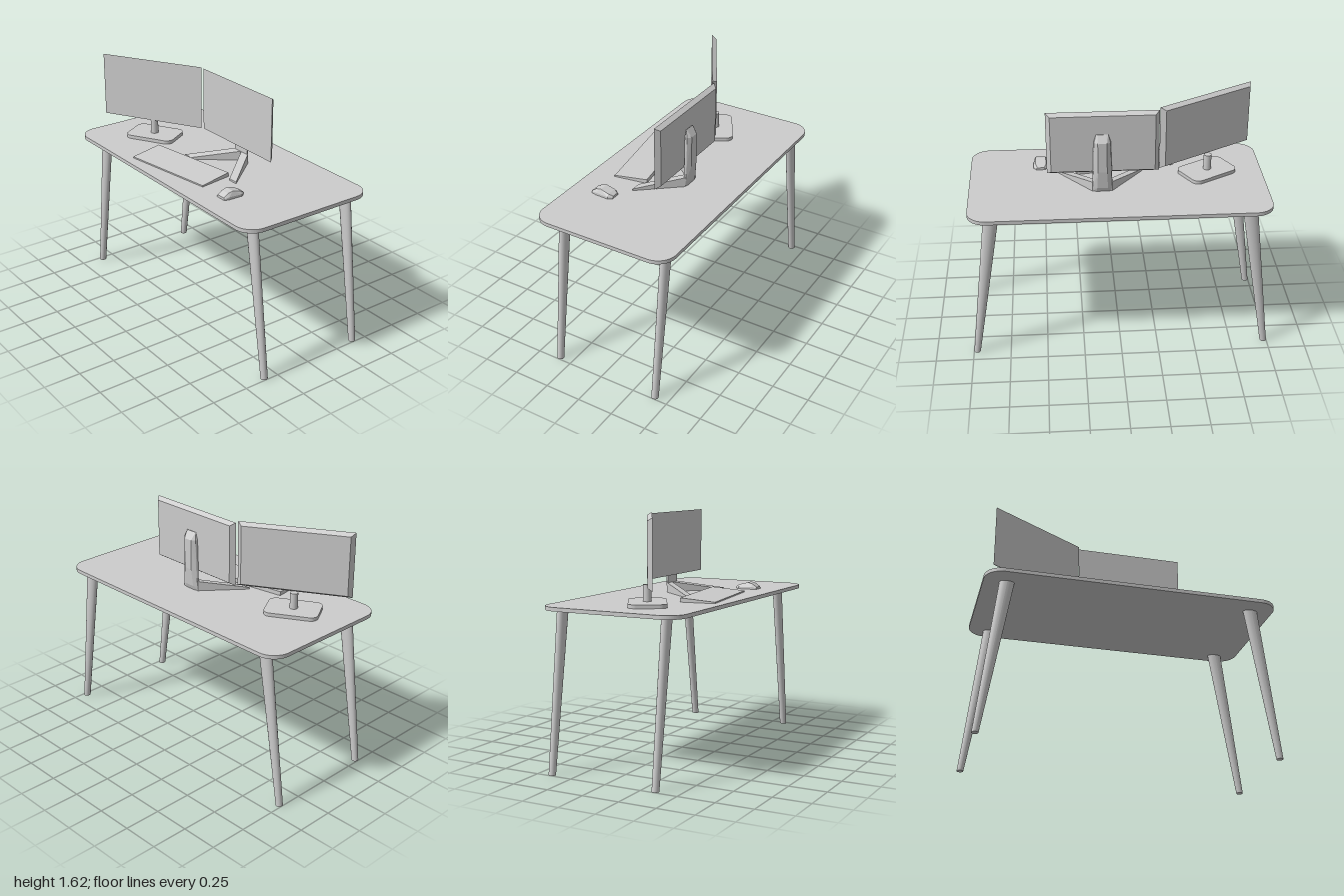
import * as THREE from 'three';
import { ConvexGeometry } from 'three/addons/geometries/ConvexGeometry.js';

export function createModel() {
  const model = new THREE.Group();
  model.name = 'deskWithMonitors';
  const grey = new THREE.MeshStandardMaterial({ color: 0xcccccc });
  grey.name = 'plainGrey';

  const add = (name, geometry, parent = model) => {
    const mesh = new THREE.Mesh(geometry, grey);
    mesh.name = name;
    parent.add(mesh);
    return mesh;
  };
  const hull = (points) => new ConvexGeometry(points.map((p) => new THREE.Vector3(...p)));

  // Rounded slab lying flat, its underside at y = 0
  function slab(w, d, h, r) {
    const x = w / 2, y = d / 2, s = new THREE.Shape();
    s.moveTo(-x + r, -y);
    s.absarc(x - r, -y + r, r, -Math.PI / 2, 0);
    s.absarc(x - r, y - r, r, 0, Math.PI / 2);
    s.absarc(-x + r, y - r, r, Math.PI / 2, Math.PI);
    s.absarc(-x + r, -y + r, r, Math.PI, Math.PI * 1.5);
    return new THREE.ExtrudeGeometry(s, { depth: h, bevelEnabled: false, curveSegments: 10 }).rotateX(-Math.PI / 2);
  }

  // Table top
  const TOP = 1.065;
  add('tableTop', slab(1.965, 0.98, 0.025, 0.125)).position.y = 1.04;

  // Splayed legs, wider along x at the top
  for (const side of [1, -1]) {
    for (const z of [0.342, -0.403]) {
      const g = new THREE.CylinderGeometry(1, 1, 1.04, 28);
      const p = g.attributes.position;
      for (let i = 0; i < p.count; i++) {
        const t = p.getY(i) / 1.04 + 0.5;
        p.setXYZ(i,
          side * (0.978 - 0.148 * t) + p.getX(i) * (0.022 + 0.027 * t),
          t * 1.04,
          z + p.getZ(i) * (0.024 + 0.005 * t));
      }
      g.computeVertexNormals();
      add(`${z > 0 ? 'front' : 'back'}${side > 0 ? 'Left' : 'Right'}Leg`, g);
    }
  }

  // Monitor panel: front face at z = 0, back face inset
  function panel(w, h) {
    const pts = [];
    for (const sx of [1, -1]) for (const sy of [1, -1]) {
      pts.push([sx * w / 2, sy * h / 2, 0], [sx * (w / 2 - 0.027), sy * (h / 2 - 0.02), -0.031]);
    }
    return hull(pts);
  }
  add('leftMonitor', panel(0.732, 0.43)).position.set(0.1, 1.4, -0.094);
  const right = add('rightMonitor', panel(0.745, 0.436));
  right.position.set(-0.593, 1.407, 0.107);
  right.rotation.y = Math.PI / 6;

  // Right monitor's foot plate and pole
  const foot = add('rightStandPlate', slab(0.352, 0.243, 0.024, 0.05));
  foot.position.set(-0.61, TOP, 0.082);
  foot.rotation.y = Math.PI / 6;
  add('rightStandPole', new THREE.CylinderGeometry(0.026, 0.026, 0.11, 24)).position.set(-0.613, 1.14, 0.083);

  // Left monitor's stand: two wedge feet and a chamfered column
  const stand = new THREE.Group();
  stand.name = 'leftStand';
  stand.position.set(0.106, TOP, 0);
  model.add(stand);
  for (const s of [1, -1]) {
    const plan = [[0.283, 0.125, 0.012], [0.213, 0.125, 0.012], [-0.005, -0.14, 0.067], [0.065, -0.14, 0.067]];
    add(s > 0 ? 'leftStandFoot' : 'rightStandFoot',
      hull(plan.flatMap(([x, z, h]) => [[s * x, 0, z], [s * x, h, z]])), stand);
  }
  // Each level: height, front half width, back half width, back z
  const levels = [[0, 0.066, 0.04, -0.145], [0.03, 0.066, 0.035, -0.155],
    [0.15, 0.06, 0.03, -0.166], [0.355, 0.056, 0.03, -0.166], [0.405, 0.04, 0.025, -0.133]];
  const column = [];
  for (const [y, f, b, z] of levels) {
    for (const s of [1, -1]) {
      column.push([s * f, y, -0.13], [s * f * 0.95, y, -0.13 + (z + 0.13) * 0.45], [s * b, y, z]);
    }
  }
  add('standColumn', hull(column), stand);
  add('monitorMount', new THREE.BoxGeometry(0.08, 0.08, 0.012), stand).position.set(0, 0.33, -0.128);

  // Wedge keyboard, thicker at its far edge
  const keyboard = add('keyboard', hull([1, -1].flatMap((s) => [
    [s * 0.333, 0, 0.116], [s * 0.333, 0.009, 0.116], [s * 0.333, 0, -0.116], [s * 0.333, 0.028, -0.116],
  ])));
  keyboard.position.set(-0.045, TOP, 0.26);
  keyboard.rotation.y = 0.152;

  // Faceted mouse. Each section: z, base half width, top half width, height
  const sections = [[0.078, 0.038, 0.03, 0.016], [0.045, 0.046, 0.032, 0.038], [0.01, 0.045, 0.034, 0.046],
    [-0.05, 0.05, 0.036, 0.03], [-0.078, 0.03, 0.022, 0.016]];
  const mouse = add('mouse', hull(sections.flatMap(([z, b, t, h]) => [1, -1].flatMap((s) => [
    [s * b, 0, z], [s * b, h * 0.45, z], [s * t, h, z],
  ]))));
  mouse.position.set(0.508, TOP, 0.257);

  return model;
}
